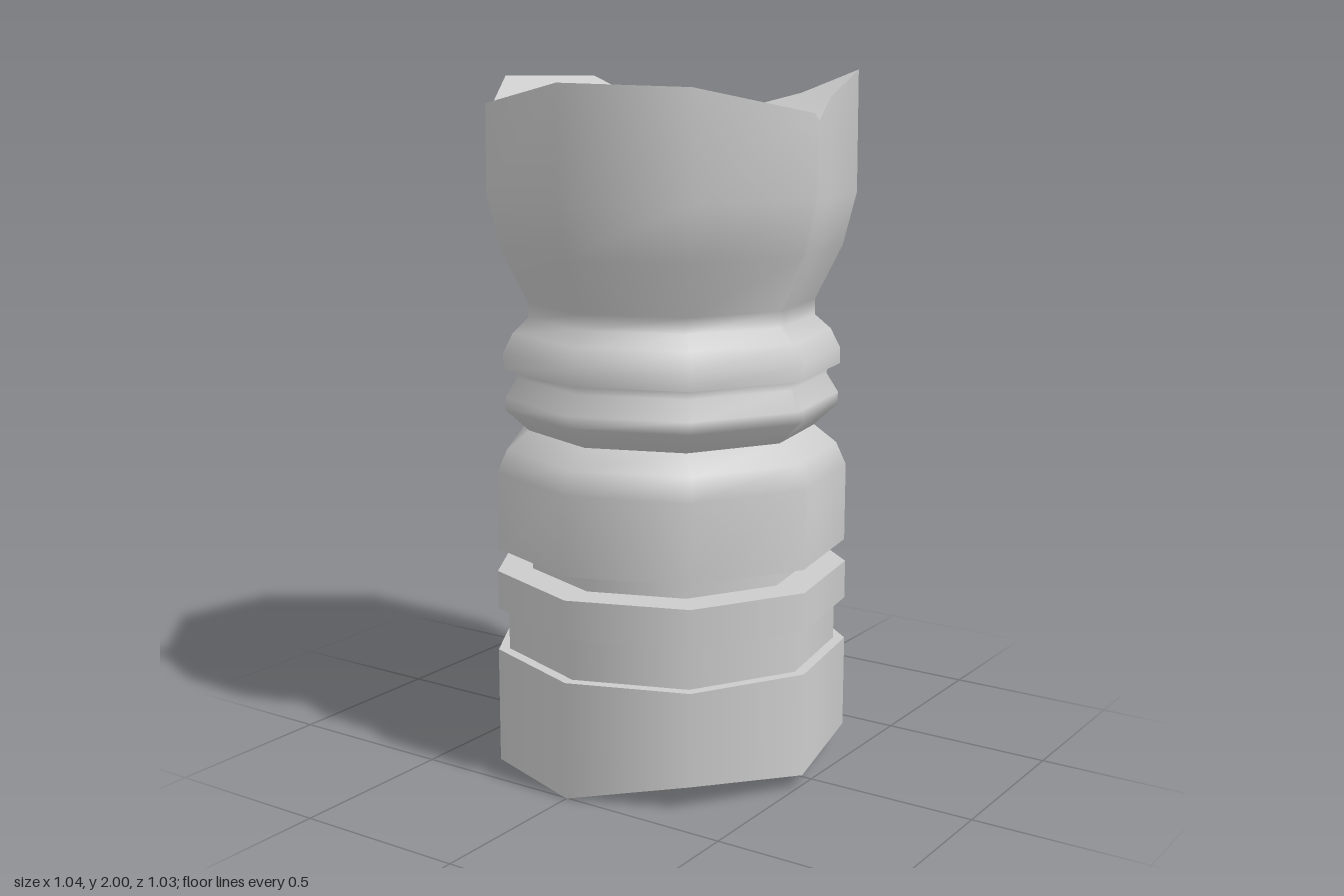
import * as THREE from 'three';

const SIDES = 9, STEP = Math.PI * 2 / SIDES, Z_SHIFT = -0.016;

// broken rims: [corner number around the nine sides, height]
const TOP = [[0, 1.97], [1, 1.96], [2, 1.89], [2.1, 1.87], [2.35, 1.93], [3, 2], [4, 1.92],
  [4.22, 1.873], [5, 1.913], [5.73, 1.927], [6, 1.977], [7, 1.98], [7.85, 1.885], [8, 1.91], [9, 1.97]];
const BOTTOM = [[0, 0], [1, 0.07], [2, 0.04], [3, 0.07], [4, 0.115], [4.4, 0.15], [5, 0.05],
  [6, 0.1], [6.45, 0.15], [7, 0.09], [7.45, 0.12], [8, 0], [9, 0]];

// every corner or rim break gets one column of vertices
const COLUMNS = [...new Set([...TOP, ...BOTTOM].map(p => p[0]))].filter(k => k < SIDES).sort((a, b) => a - b);

function heightAt(table, k) {
  const i = Math.max(1, table.findIndex(p => p[0] >= k));
  const [a, ya] = table[i - 1], [b, yb] = table[i];
  return ya + (yb - ya) * (k - a) / (b - a);
}
const topRim = k => heightAt(TOP, k);
const bottomRim = k => heightAt(BOTTOM, k);
const soften = (rim, centre, amount) => k => centre + (rim(k) - centre) * amount;

// point on the nine-sided outline, with flat sides between corners
function outline(k, r) {
  const i = Math.floor(k), t = k - i;
  const mix = f => r * (f(i * STEP) * (1 - t) + f((i + 1) * STEP) * t);
  return [mix(Math.sin), mix(Math.cos) + Z_SHIFT];
}

// smooth strip through rows of [radius, height or height rule], outward face first
function strip(name, rows, material) {
  const n = COLUMNS.length, pos = [], index = [];
  for (const [r, y] of rows) {
    for (const k of COLUMNS) {
      const [x, z] = outline(k, r);
      pos.push(x, typeof y === 'function' ? y(k) : y, z);
    }
  }
  for (let j = 0; j < rows.length - 1; j++) {
    for (let i = 0; i < n; i++) {
      const a = j * n + i, b = j * n + (i + 1) % n;
      if (rows[j][0] > 0) index.push(a, b, b + n);
      if (rows[j + 1][0] > 0) index.push(a, b + n, a + n);
    }
  }
  const geo = new THREE.BufferGeometry();
  geo.setAttribute('position', new THREE.Float32BufferAttribute(pos, 3));
  geo.setIndex(index);
  geo.computeVertexNormals();
  // walls shade evenly round the column
  if (rows.every(([r]) => r > 0)) {
    const normal = geo.attributes.normal;
    for (let v = 0; v < normal.count; v++) {
      const angle = COLUMNS[v % n] * STEP, ny = normal.getY(v);
      const flat = Math.sqrt(Math.max(0, 1 - ny * ny));
      normal.setXYZ(v, Math.sin(angle) * flat, ny, Math.cos(angle) * flat);
    }
  }
  const mesh = new THREE.Mesh(geo, material);
  mesh.name = name;
  return mesh;
}

export function createModel() {
  const group = new THREE.Group();
  group.name = 'brokenColumn';
  const stone = new THREE.MeshStandardMaterial({ color: 0xcccccc });

  // strips meet at sharp edges, rows inside one strip are smooth
  const parts = [
    ['bottomBreak', [[0, 0.17], [0.37, soften(bottomRim, 0.17, 0.6)], [0.52, bottomRim]]],
    ['base', [[0.52, bottomRim], [0.52, 0.34]]],
    ['baseLedge', [[0.52, 0.34], [0.487, 0.34]]],
    ['lowerNeck', [[0.487, 0.34], [0.487, 0.465]]],
    ['bandUnderside', [[0.487, 0.465], [0.518, 0.465]]],
    ['band', [[0.518, 0.465], [0.518, 0.577]]],
    ['bandLedge', [[0.518, 0.577], [0.415, 0.577]]],
    ['groove', [[0.415, 0.577], [0.415, 0.643]]],
    ['drumUnderside', [[0.415, 0.643], [0.514, 0.643]]],
    ['drum', [[0.514, 0.643], [0.514, 0.87], [0.485, 0.935], [0.42, 0.987]]],
    ['lowerRing', [[0.42, 0.987], [0.487, 1.05], [0.487, 1.085], [0.453, 1.14], [0.46, 1.168]]],
    ['upperRingUnderside', [[0.46, 1.168], [0.491, 1.168]]],
    ['upperRingAndBell', [[0.491, 1.168], [0.491, 1.215], [0.463, 1.27], [0.417, 1.31], [0.417, 1.355],
      [0.493, 1.51], [0.53, 1.66], [0.528, topRim]]],
    ['topBreak', [[0.528, topRim], [0.37, soften(topRim, 1.84, 0.6)], [0, 1.84]]],
  ];
  for (const [name, rows] of parts) group.add(strip(name, rows, stone));
  return group;
}
